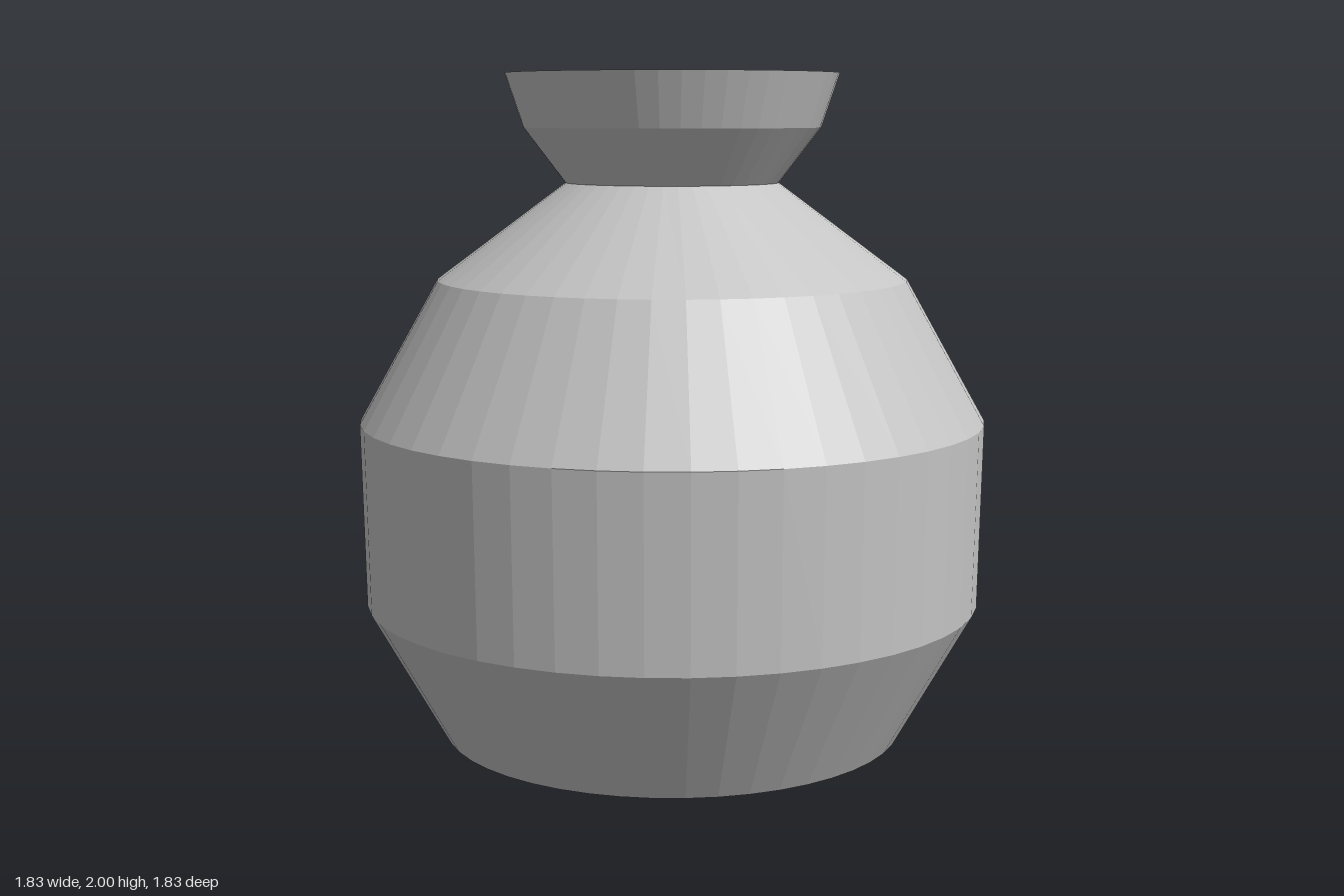
import * as THREE from 'three';

export function createModel() {
  const group = new THREE.Group();
  group.name = 'vase';
  const clay = new THREE.MeshStandardMaterial({ color: 0xc4c4c4, flatShading: true });
  clay.name = 'grey clay';

  // Revolve a profile of [radius, height] pairs, listed from bottom to top
  const addTurned = (name, profile) => {
    const points = profile.map(([r, y]) => new THREE.Vector2(r, y));
    const mesh = new THREE.Mesh(new THREE.LatheGeometry(points, 48), clay);
    mesh.name = name;
    group.add(mesh);
  };

  // Closed base, faceted belly and sloping shoulder
  addTurned('body', [
    [0, 0], [0.47, 0], [0.68, 0.065], [0.903, 0.465],
    [0.913, 1], [0.683, 1.41], [0.31, 1.687],
  ]);

  // Flared neck, closed by a flat top
  addTurned('neck', [[0.31, 1.687], [0.43, 1.845], [0.482, 2], [0, 2]]);

  return group;
}
